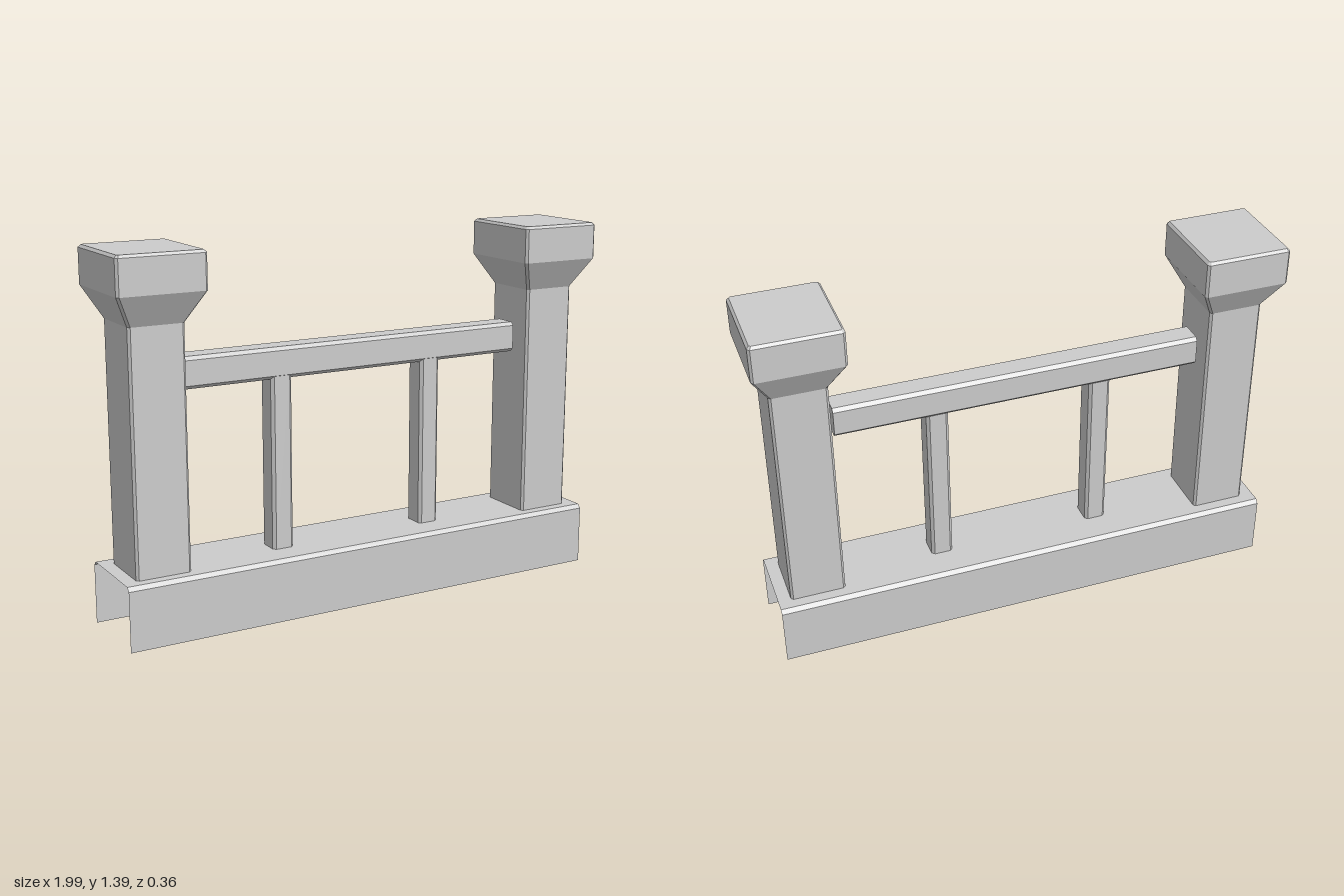
import * as THREE from 'three';

const grey = new THREE.MeshStandardMaterial({ color: 0xcccccc, flatShading: true });
const greySheet = new THREE.MeshStandardMaterial({ color: 0xcccccc, flatShading: true, side: THREE.DoubleSide });

// Rectangle outline with cut corners, as [u, v] pairs
function chamferedRect(hu, hv, c) {
  return [
    [hu, -hv + c], [hu, hv - c], [hu - c, hv], [-hu + c, hv],
    [-hu, hv - c], [-hu, -hv + c], [-hu + c, -hv], [hu - c, -hv],
  ];
}

// Join cross-sections into a surface; a solid has closed outlines and end caps
function loft(rings, solid = true) {
  const pos = [];
  const tri = (...pts) => pts.forEach((p) => pos.push(...p));
  const n = rings[0].length;
  for (let r = 0; r < rings.length - 1; r++) {
    for (let i = 0; i < (solid ? n : n - 1); i++) {
      const j = (i + 1) % n;
      const a = rings[r][i], b = rings[r][j], c = rings[r + 1][i], d = rings[r + 1][j];
      tri(a, c, b);
      tri(b, c, d);
    }
  }
  if (solid) {
    const first = rings[0], last = rings[rings.length - 1];
    for (let i = 1; i < n - 1; i++) {
      tri(first[0], first[i], first[i + 1]);
      tri(last[0], last[i + 1], last[i]);
    }
  }
  const geometry = new THREE.BufferGeometry();
  geometry.setAttribute('position', new THREE.Float32BufferAttribute(pos, 3));
  geometry.computeVertexNormals();
  return geometry;
}

// Upright solid from [y, half width, half depth, chamfer] levels
const upright = (levels) =>
  loft(levels.map(([y, hx, hz, c]) => chamferedRect(hx, hz, c).map(([x, z]) => [x, y, z])));

// Sweep a [z, y] outline along x
const alongX = (outline, x0, x1, solid) =>
  loft([x0, x1].map((x) => outline.map(([z, y]) => [x, y, z])), solid);

export function createModel() {
  const model = new THREE.Group();
  model.name = 'balustrade';
  const add = (name, geometry, material, x = 0, y = 0, z = 0) => {
    const mesh = new THREE.Mesh(geometry, material);
    mesh.name = name;
    mesh.position.set(x, y, z);
    model.add(mesh);
  };

  // Base: a folded sheet, open below and at both ends
  const channel = [[0.165, 0], [0.165, 0.225], [0.152, 0.24], [-0.156, 0.24], [-0.17, 0.225], [-0.17, 0]];
  add('base', alongX(channel, -0.988, 0.984, false), greySheet);

  // Posts with flared square caps
  const post = upright([
    [0.238, 0.105, 0.115, 0.009],
    [1.14, 0.105, 0.115, 0.009],
    [1.255, 0.166, 0.182, 0.009],
    [1.385, 0.166, 0.182, 0.009],
    [1.395, 0.157, 0.173, 0.006],
  ]);
  add('rightPost', post, grey, -0.832);
  add('leftPost', post, grey, 0.83);

  // Balusters between base and handrail
  const baluster = upright([
    [0.23, 0.042, 0.046, 0.011],
    [0.9, 0.042, 0.046, 0.011],
  ]);
  add('rightBaluster', baluster, grey, -0.323, 0, 0.003);
  add('leftBaluster', baluster, grey, 0.318, 0, 0.003);

  // Handrail with bevelled edges
  add('handrail', alongX(chamferedRect(0.053, 0.059, 0.013), -0.712, 0.706, true), grey, 0, 0.946, -0.003);

  return model;
}
